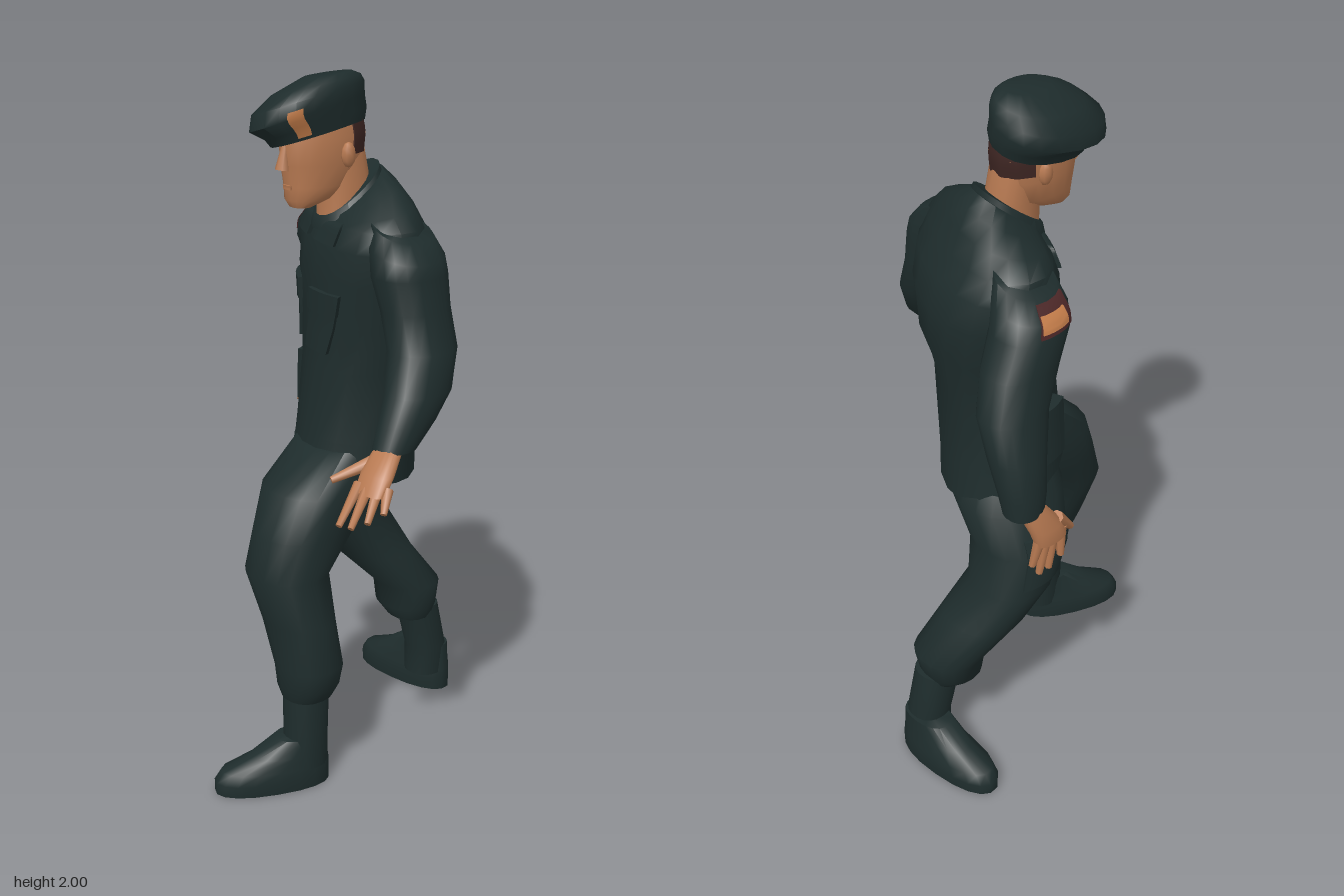
import * as THREE from 'three';
import { toCreasedNormals } from 'three/addons/utils/BufferGeometryUtils.js';

const mat = (name, color) => {
  const m = new THREE.MeshStandardMaterial({ color });
  m.name = name;
  return m;
};
const SIDES = 18;

// A ring is [x, y, z, halfWidth, halfDepth, yaw, tiltForward, tiltSide]
function ringPoint(r, a, out = 0) {
  const [x, y, z, rx, rz, yaw = 0, tw = 0, tu = 0] = r;
  const soft = (v) => Math.sign(v) * Math.pow(Math.abs(v), 0.88);
  const u = (rx + out) * soft(Math.cos(a)), w = (rz + out) * soft(Math.sin(a));
  const c = Math.cos(yaw), s = Math.sin(yaw);
  return [x + u * c - w * s, y + w * tw + u * tu, z + u * s + w * c];
}

function ringAt(rings, y) {
  let i = 0;
  while (i < rings.length - 2 && rings[i + 1][1] < y) i++;
  const a = rings[i], b = rings[i + 1], t = (y - a[1]) / (b[1] - a[1]);
  return Array.from({ length: 8 }, (_, k) => THREE.MathUtils.lerp(a[k] || 0, b[k] || 0, t));
}

function build(pos, index, crease) {
  const g = new THREE.BufferGeometry();
  g.setAttribute('position', new THREE.Float32BufferAttribute(pos, 3));
  g.setIndex(index);
  return toCreasedNormals(g, crease);
}

// Closed skin through rings listed from bottom to top
function loft(rings) {
  const flat = (r) => [r[0], r[1], r[2], 0.0005, 0.0005, r[5]];
  const all = [flat(rings[0]), ...rings, flat(rings[rings.length - 1])];
  const pos = [], index = [];
  all.forEach((r) => {
    for (let i = 0; i < SIDES; i++) pos.push(...ringPoint(r, (i / SIDES) * Math.PI * 2));
  });
  for (let j = 0; j < all.length - 1; j++) {
    for (let i = 0; i < SIDES; i++) {
      const a = j * SIDES + i, b = j * SIDES + ((i + 1) % SIDES);
      index.push(a, a + SIDES, b, b, a + SIDES, b + SIDES);
    }
  }
  return build(pos, index, 0.9);
}

// Raised panel following a loft between two angles (degrees) and two heights
function panel(rings, a0, a1, y0, y1, out) {
  const n = 8, pos = [], index = [];
  const edge = [0, 0, 0.2, 0.4, 0.6, 0.8, 1, 1];
  for (let j = 0; j < n; j++) {
    for (let i = 0; i < n; i++) {
      const rim = i === 0 || j === 0 || i === n - 1 || j === n - 1;
      const a = THREE.MathUtils.degToRad(a0 + (a1 - a0) * edge[i]);
      pos.push(...ringPoint(ringAt(rings, y0 + (y1 - y0) * edge[j]), a, rim ? -0.006 : out));
      if (i < n - 1 && j < n - 1) {
        const k = j * n + i;
        index.push(k, k + n, k + 1, k + 1, k + n, k + n + 1);
      }
    }
  }
  return build(pos, index, 0.7);
}

// Tapered round piece between two points
function taper(a, b, ra, rb) {
  const p = new THREE.Vector3(...a), q = new THREE.Vector3(...b);
  const d = q.clone().sub(p);
  const g = new THREE.CylinderGeometry(rb, ra, d.length(), 7);
  g.applyQuaternion(new THREE.Quaternion().setFromUnitVectors(new THREE.Vector3(0, 1, 0), d.normalize()));
  return g.translate(...p.add(q).multiplyScalar(0.5).toArray());
}

const JACKET = [
  [-0.028, 0.9, -0.062, 0.238, 0.175, 0.75, 0.2],
  [-0.022, 1.0, -0.065, 0.225, 0.17, 0.7, 0.08],
  [-0.01, 1.2, -0.07, 0.212, 0.162, 0.6],
  [0, 1.33, -0.087, 0.235, 0.177, 0.48],
  [0, 1.45, -0.09, 0.255, 0.18, 0.42],
  [0, 1.54, -0.085, 0.27, 0.162, 0.4],
  [0.002, 1.6, -0.075, 0.262, 0.13, 0.38],
  [0.004, 1.635, -0.065, 0.215, 0.11, 0.36, -0.2],
  [0.002, 1.662, -0.05, 0.145, 0.095, 0.34, -0.45],
  [-0.008, 1.678, -0.035, 0.085, 0.08, 0.3, -0.75],
];
const COLLAR = [[-0.008, 1.635, -0.022, 0.1, 0.1, 0.25, -0.6], [-0.012, 1.68, -0.018, 0.078, 0.09, 0.25, -0.78]];
const LEFT_SLEEVE = [
  [0.35, 1.065, 0.14, 0.052, 0.06], [0.345, 1.13, 0.09, 0.061, 0.085], [0.335, 1.2, 0.04, 0.07, 0.1],
  [0.302, 1.3, -0.005, 0.08, 0.1], [0.264, 1.4, -0.015, 0.08, 0.1], [0.245, 1.49, -0.01, 0.09, 0.108],
  [0.235, 1.55, -0.01, 0.09, 0.104, 0, 0, -0.25], [0.21, 1.605, -0.015, 0.072, 0.085, 0, 0, -0.4],
];
const RIGHT_SLEEVE = [
  [-0.375, 1.04, -0.325, 0.05, 0.055], [-0.365, 1.1, -0.32, 0.058, 0.065], [-0.335, 1.2, -0.31, 0.07, 0.08],
  [-0.29, 1.3, -0.28, 0.08, 0.1], [-0.262, 1.4, -0.225, 0.085, 0.11], [-0.25, 1.49, -0.18, 0.09, 0.108],
  [-0.238, 1.55, -0.168, 0.088, 0.1, 0, 0, 0.25], [-0.205, 1.6, -0.152, 0.072, 0.082, 0, 0, 0.4],
];
const LEFT_TROUSER = [
  [0.095, 0.27, 0.23, 0.068, 0.07], [0.097, 0.31, 0.228, 0.088, 0.084], [0.096, 0.37, 0.224, 0.097, 0.092],
  [0.06, 0.5, 0.23, 0.112, 0.092], [0.03, 0.64, 0.245, 0.122, 0.107], [0.02, 0.75, 0.172, 0.13, 0.146],
  [0.022, 0.87, 0.125, 0.147, 0.148], [0.02, 0.98, 0.03, 0.13, 0.12],
];
const RIGHT_TROUSER = [
  [-0.088, 0.27, -0.355, 0.07, 0.066], [-0.102, 0.31, -0.35, 0.098, 0.082], [-0.11, 0.38, -0.358, 0.104, 0.094],
  [-0.155, 0.5, -0.262, 0.118, 0.11], [-0.203, 0.63, -0.2, 0.118, 0.112], [-0.183, 0.75, -0.147, 0.126, 0.136],
  [-0.122, 0.87, -0.13, 0.14, 0.157], [-0.08, 0.98, -0.1, 0.12, 0.12],
];
const SEAT = [
  [-0.07, 0.772, -0.005, 0.03, 0.012, 0.75], [-0.06, 0.83, -0.02, 0.11, 0.08, 0.75], [-0.04, 0.95, -0.04, 0.2, 0.15, 0.75],
];
const HEAD = [
  [-0.036, 1.645, 0.125, 0.032, 0.028, 0.1], [-0.035, 1.665, 0.1, 0.052, 0.065, 0.1],
  [-0.033, 1.7, 0.065, 0.067, 0.1, 0.1], [-0.03, 1.76, 0.055, 0.077, 0.12, 0.1],
  [-0.03, 1.83, 0.053, 0.081, 0.126, 0.1], [-0.032, 1.9, 0.05, 0.07, 0.11, 0.1],
];
const BERET = [
  [-0.038, 1.832, 0.06, 0.089, 0.138, 0.05, -0.16, 0.25], [-0.042, 1.858, 0.064, 0.096, 0.15, 0.04, -0.17, 0.28],
  [-0.056, 1.886, 0.082, 0.115, 0.167, 0.03, -0.17, 0.3], [-0.055, 1.925, 0.079, 0.113, 0.163, 0.03, -0.15, 0.28],
  [-0.043, 1.96, 0.062, 0.09, 0.128, 0.05, -0.12, 0.22], [-0.015, 1.99, 0.045, 0.045, 0.07, 0.1, -0.06, 0.1],
];

export function createModel() {
  const model = new THREE.Group();
  model.name = 'soldier';
  const cloth = mat('dark green cloth', 0x1e2c2c);
  const skin = mat('skin', 0xb87a52);
  const hair = mat('dark brown hair', 0x3d2522);
  const emblem = mat('orange emblem', 0xc07a48);
  const red = mat('dark red patch', 0x4a2626);
  const add = (name, geometry, material = cloth) => {
    const mesh = new THREE.Mesh(geometry, material);
    mesh.name = name;
    model.add(mesh);
  };

  // Clothing
  add('jacket', loft(JACKET));
  add('collar', loft(COLLAR));
  add('leftSleeve', loft(LEFT_SLEEVE));
  add('rightSleeve', loft(RIGHT_SLEEVE));
  add('leftTrouserLeg', loft(LEFT_TROUSER));
  add('rightTrouserLeg', loft(RIGHT_TROUSER));
  add('trouserSeat', loft(SEAT));

  // Pockets, flaps and lapels
  [[48, 80], [100, 135]].forEach(([a, b]) => {
    add('chestPocket', panel(JACKET, a, b, 1.25, 1.37, 0.008));
    add('chestPocketFlap', panel(JACKET, a - 1, b + 1, 1.36, 1.42, 0.012));
  });
  add('leftLapel', panel(JACKET, 62, 86, 1.55, 1.62, 0.01));
  add('rightLapel', panel(JACKET, 94, 118, 1.55, 1.62, 0.01));
  add('hipPouch', panel(JACKET, 125, 165, 1.0, 1.17, 0.03));
  add('rightThighPocket', panel(RIGHT_TROUSER, 150, 210, 0.66, 0.8, 0.008));

  // Shoulder patch with its orange centre
  add('shoulderPatch', panel(RIGHT_SLEEVE, 142, 202, 1.505, 1.592, 0.005), red);
  add('shoulderPatchCentre', panel(RIGHT_SLEEVE, 158, 200, 1.525, 1.572, 0.009), emblem);

  // Boots: shaft and foot
  const boot = (name, ankle, shaftTop, foot, yaw, half) => {
    const [fx, fz] = foot, at = (t, y, rx, rz) =>
      [fx + t * Math.sin(yaw), y, fz - t * Math.cos(yaw), rx, rz, yaw];
    add(name + 'Shaft', loft([[ankle[0], 0.06, ankle[1], 0.06, 0.062],
      [ankle[0], 0.15, ankle[1], 0.061, 0.062], [shaftTop[0], 0.3, shaftTop[1], 0.062, 0.066]]));
    add(name + 'Foot', loft([at(0, 0, 0.068, half), at(0, 0.035, 0.071, half), at(0.01, 0.065, 0.066, half - 0.01),
      at(0.05, 0.1, 0.056, half - 0.055), at(0.085, 0.15, 0.05, half - 0.095)]));
  };
  boot('leftBoot', [0.098, 0.24], [0.09, 0.23], [0.058, 0.334], 0.44, 0.168);
  boot('rightBoot', [-0.072, -0.41], [-0.078, -0.375], [-0.177, -0.425], 1.5, 0.174);

  // Hands
  add('leftPalm', loft([[0.375, 0.975, 0.25, 0.052, 0.022], [0.368, 1.02, 0.215, 0.052, 0.03],
    [0.35, 1.085, 0.15, 0.035, 0.035]]), skin);
  [[0.36, 0.905, 0.345], [0.395, 0.905, 0.335], [0.425, 0.92, 0.305], [0.443, 0.94, 0.265]].forEach((tip, i) =>
    add('leftFinger', taper([0.335 + 0.027 * i, 0.99, 0.25 - 0.008 * i], tip, 0.016, 0.009), skin));
  add('leftThumb', taper([0.325, 1.035, 0.19], [0.275, 0.995, 0.295], 0.02, 0.01), skin);
  add('rightPalm', loft([[-0.422, 0.94, -0.27, 0.024, 0.052], [-0.415, 0.99, -0.285, 0.032, 0.052],
    [-0.385, 1.06, -0.32, 0.034, 0.038]]), skin);
  [[-0.408, 0.87, -0.325], [-0.41, 0.83, -0.3], [-0.415, 0.835, -0.27], [-0.425, 0.865, -0.235]].forEach((tip, i) =>
    add('rightFinger', taper([-0.42, 0.96, -0.31 + 0.026 * i], tip, 0.017, 0.01), skin));
  add('rightThumb', taper([-0.422, 1.0, -0.25], [-0.416, 0.93, -0.188], 0.02, 0.01), skin);

  // Head, neck and face
  add('neck', loft([[-0.012, 1.605, -0.008, 0.065, 0.076], [-0.015, 1.7, -0.008, 0.064, 0.076],
    [-0.022, 1.79, 0.005, 0.064, 0.074]]), skin);
  add('head', loft(HEAD), skin);
  add('nose', taper([-0.043, 1.748, 0.182], [-0.042, 1.815, 0.172], 0.02, 0.008), skin);
  add('mouth', panel(HEAD, 78, 102, 1.694, 1.706, 0.004), skin);
  [1, -1].forEach((s) => {
    const ear = new THREE.SphereGeometry(1, 8, 6).scale(0.015, 0.034, 0.023);
    add(s > 0 ? 'leftEar' : 'rightEar', ear.translate(-0.024 + s * 0.082, 1.785, 0.03 + s * 0.008), skin);
  });
  add('hair', panel(HEAD, 203, 340, 1.782, 1.88, 0.004), hair);

  // Beret and badge
  add('beret', loft(BERET));
  add('beretBadge', panel(BERET, 32, 49, 1.84, 1.905, 0.009), emblem);
  return model;
}
